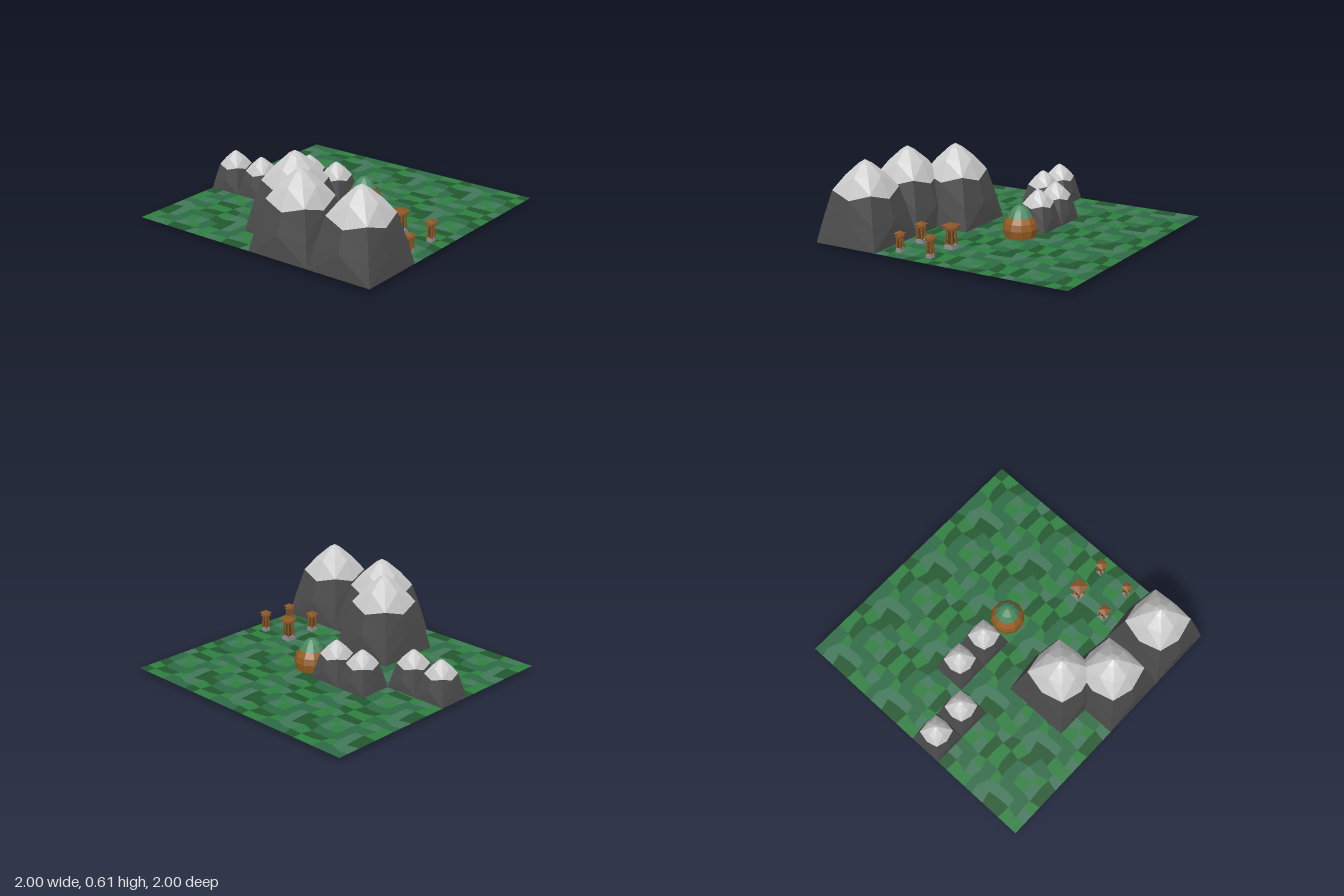
import * as THREE from 'three';

const GROUND_Y = 0.035;
const mat = (color, side = THREE.FrontSide) =>
  new THREE.MeshStandardMaterial({ color, flatShading: true, side });
const ROCK = mat(0x4c4c4c), SNOW = mat(0xbcbcbc), STONE = mat(0x8c8c8c);
const WOOD = mat(0x8a5526), DARK_WOOD = mat(0x5f3a18);
const BARK = mat(0x945c22), LEAF = mat(0x4a8a62);

function addMesh(parent, name, geometry, material, x = 0, y = 0, z = 0) {
  const mesh = new THREE.Mesh(geometry, material);
  mesh.name = name;
  mesh.position.set(x, y, z);
  parent.add(mesh);
  return mesh;
}

function fromPositions(positions) {
  const g = new THREE.BufferGeometry();
  g.setAttribute('position', new THREE.Float32BufferAttribute(positions, 3));
  g.computeVertexNormals();
  return g;
}

// Patchwork grass: a grid of skewed cells, one mesh per shade
function ground() {
  const group = new THREE.Group();
  group.name = 'ground';
  const n = 24, step = 2 / n;
  const hash = (i, j) => {
    const s = Math.sin(i * 127.1 + j * 311.7) * 43758.5453;
    return s - Math.floor(s);
  };
  const point = (i, j) => {
    const skew = (k) => (hash((i % 6) + k, (j % 6) + 3 * k) - 0.5) * 0.04;
    const x = i === 0 || i === n ? 0 : skew(1);
    const z = j === 0 || j === n ? 0 : skew(2);
    return [-1 + i * step + x, GROUND_Y, -1 + j * step + z];
  };
  const shades = [0x2f7f40, 0x2d6b45, 0x22582f, 0x42785a];
  const cells = shades.map(() => []);
  for (let i = 0; i < n; i++) {
    for (let j = 0; j < n; j++) {
      const a = point(i, j), b = point(i, j + 1), c = point(i + 1, j + 1), d = point(i + 1, j);
      const shade = Math.floor(hash((i % 6) + 11, (j % 6) + 5) * shades.length);
      cells[shade].push(...a, ...b, ...c, ...a, ...c, ...d);
    }
  }
  shades.forEach((color, k) =>
    addMesh(group, 'grassPatches' + (k + 1), fromPositions(cells[k]), mat(color, THREE.DoubleSide)));
  return group;
}

// Eight-point ring: corners at +-c, side middles at mx and mz
function ring({ c, cy, mx, mz, my }) {
  return [
    [c, cy, c], [mx, my, 0], [c, cy, -c], [0, my, -mz],
    [-c, cy, -c], [-mx, my, 0], [-c, cy, c], [0, my, mz],
  ];
}

function skin(rings) {
  const out = [];
  for (let r = 0; r + 1 < rings.length; r++) {
    for (let k = 0; k < 8; k++) {
      const m = (k + 1) % 8;
      const a = rings[r][k], b = rings[r][m], c = rings[r + 1][m], d = rings[r + 1][k];
      // Split each quad so the diagonal leaves the corner ridge
      if (k % 2) out.push(...a, ...b, ...d, ...b, ...c, ...d);
      else out.push(...a, ...b, ...c, ...a, ...c, ...d);
    }
  }
  return fromPositions(out);
}

const MOUNTAIN_RINGS = [
  { c: 0.25, cy: 0, mx: 0.25, mz: 0.25, my: 0 },
  { c: 0.215, cy: 0.165, mx: 0.245, mz: 0.225, my: 0.165 },
  { c: 0.165, cy: 0.37, mx: 0.2, mz: 0.195, my: 0.32 },
  { c: 0.098, cy: 0.475, mx: 0.132, mz: 0.13, my: 0.47 },
  { c: 0.035, cy: 0.55, mx: 0.048, mz: 0.048, my: 0.55 },
  { c: 0, cy: 0.577, mx: 0, mz: 0, my: 0.577 },
].map(ring);
const ROCK_GEOMETRY = skin(MOUNTAIN_RINGS.slice(0, 3));
const SNOW_GEOMETRY = skin(MOUNTAIN_RINGS.slice(2));

function mountain(x, z, scale) {
  const group = new THREE.Group();
  group.name = scale < 1 ? 'smallMountain' : 'largeMountain';
  addMesh(group, 'rockSlope', ROCK_GEOMETRY, ROCK);
  addMesh(group, 'snowCap', SNOW_GEOMETRY, SNOW);
  group.scale.setScalar(scale);
  group.position.set(x, GROUND_Y, z);
  return group;
}

// Faceted hill with a green crown
function hill(x, z) {
  const group = new THREE.Group();
  group.name = 'forestHill';
  const lathe = (pts) => new THREE.LatheGeometry(pts.map(([r, y]) => new THREE.Vector2(r, y)), 10);
  addMesh(group, 'earthSide', lathe([[0.115, 0], [0.126, 0.06], [0.115, 0.105], [0.088, 0.145]]), BARK);
  addMesh(group, 'greenCrown', lathe([[0.088, 0.145], [0.06, 0.195], [0.028, 0.222], [0, 0.23]]), LEAF);
  group.position.set(x, GROUND_Y, z);
  return group;
}

// Four-sided tapered block, widths measured across the flats
function taper(top, bottom, height) {
  return new THREE.CylinderGeometry(top * Math.SQRT1_2, bottom * Math.SQRT1_2, height, 4)
    .rotateY(Math.PI / 4);
}

function beam(parent, name, from, to, width) {
  const a = new THREE.Vector3(...from), b = new THREE.Vector3(...to);
  const dir = b.clone().sub(a);
  const mesh = addMesh(parent, name, new THREE.BoxGeometry(width, dir.length(), width), WOOD);
  mesh.position.copy(a.add(b).multiplyScalar(0.5));
  mesh.quaternion.setFromUnitVectors(new THREE.Vector3(0, 1, 0), dir.normalize());
}

// Wooden watchtower on a stone footing
function tower(x, z, { base, height, roof }) {
  const group = new THREE.Group();
  group.name = 'watchtower';
  const footing = 0.065, deck = height - 0.04;
  addMesh(group, 'stoneFooting', taper(base * 0.82, base, footing), STONE, 0, footing / 2, 0);
  const low = base * 0.34, high = base * 0.24, rail = roof * 0.3;
  for (const sx of [-1, 1]) {
    for (const sz of [-1, 1]) {
      beam(group, 'leg', [sx * low, footing, sz * low], [sx * high, deck, sz * high], 0.011);
      beam(group, 'roofPost', [sx * rail, deck, sz * rail], [sx * rail, height - 0.015, sz * rail], 0.007);
    }
  }
  addMesh(group, 'core', taper(base * 0.3, base * 0.42, deck - footing), DARK_WOOD, 0, (deck + footing) / 2, 0);
  addMesh(group, 'deck', new THREE.BoxGeometry(roof * 0.78, 0.009, roof * 0.78), WOOD, 0, deck, 0);
  addMesh(group, 'roof', taper(0.012, roof, 0.018), WOOD, 0, height - 0.009, 0);
  group.position.set(x, 0, z);
  return group;
}

export function createModel() {
  const model = new THREE.Group();
  model.name = 'landscape';
  model.add(ground());

  for (const [x, z] of [[-0.75, 0.75], [-0.75, 0.25], [-0.5, 0]]) model.add(mountain(x, z, 1));
  for (const [x, z] of [[-0.125, -0.875], [-0.125, -0.625], [0.125, -0.375], [0.125, -0.125]])
    model.add(mountain(x, z, 0.5));

  model.add(hill(0.125, 0.125));

  model.add(tower(-0.375, 0.625, { base: 0.066, height: 0.19, roof: 0.072 }));
  model.add(tower(-0.125, 0.625, { base: 0.082, height: 0.22, roof: 0.1 }));
  model.add(tower(-0.375, 0.875, { base: 0.05, height: 0.185, roof: 0.062 }));
  model.add(tower(-0.125, 0.875, { base: 0.05, height: 0.2, roof: 0.07 }));
  return model;
}
